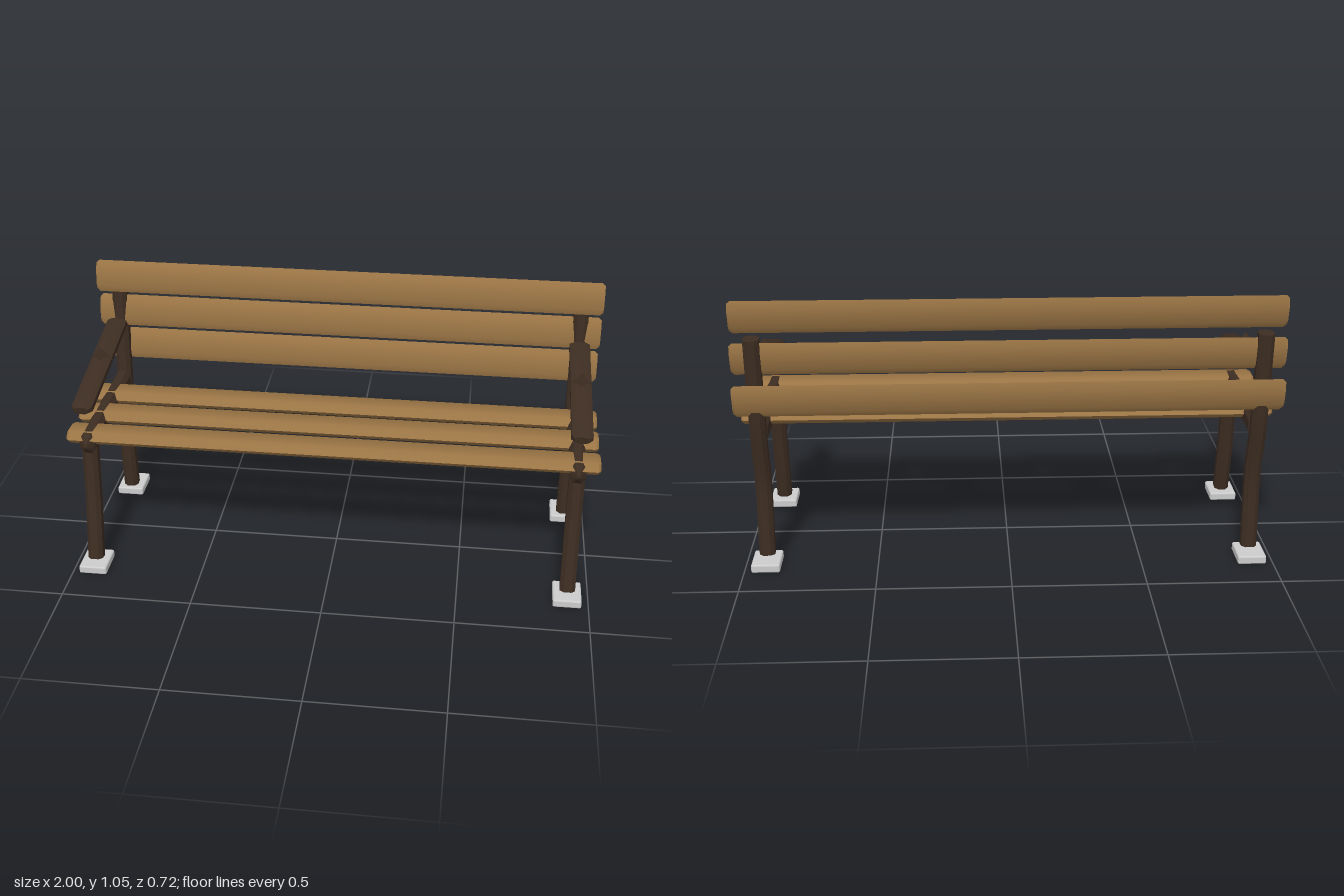
import * as THREE from 'three';
import { toCreasedNormals } from 'three/addons/utils/BufferGeometryUtils.js';
import { RoundedBoxGeometry } from 'three/addons/geometries/RoundedBoxGeometry.js';

const slatWood = new THREE.MeshStandardMaterial({ color: 0x9b7545 });
const frameWood = new THREE.MeshStandardMaterial({ color: 0x3d2d22 });
const concrete = new THREE.MeshStandardMaterial({ color: 0xcccccc });

// Unit cross-sections, spanning -0.5..0.5 both ways
const HEX = [[-0.5, 0], [-0.3, 0.5], [0.3, 0.5], [0.5, 0], [0.3, -0.5], [-0.3, -0.5]];
const CHAMFER = [[-0.5, -0.25], [-0.5, 0.25], [-0.25, 0.5], [0.25, 0.5],
  [0.5, 0.25], [0.5, -0.25], [0.25, -0.5], [-0.25, -0.5]];

// Closed solid through rings of points, wound outward
function loft(rings, crease) {
  const n = rings[0].length, last = (rings.length - 1) * n;
  const pts = rings.flat(), tris = [];
  for (let r = 0; r < rings.length - 1; r++) {
    for (let i = 0; i < n; i++) {
      const a = r * n + i, b = r * n + (i + 1) % n;
      tris.push([a, b, b + n], [a, b + n, a + n]);
    }
  }
  for (let i = 1; i < n - 1; i++) tris.push([0, i + 1, i], [last, last + i, last + i + 1]);
  let volume = 0;
  for (const [a, b, c] of tris) volume += pts[a].dot(pts[b].clone().cross(pts[c]));
  if (volume < 0) tris.forEach((t) => t.reverse());
  const geo = new THREE.BufferGeometry().setFromPoints(pts);
  geo.setIndex(tris.flat());
  return toCreasedNormals(geo, crease);
}

// Beam following [z, y, scale] stations in the side plane
function beam(path, section, width, depth) {
  const rings = path.map(([z, y, s = 1], i) => {
    const p = path[Math.max(i - 1, 0)], q = path[Math.min(i + 1, path.length - 1)];
    const dir = new THREE.Vector2(q[0] - p[0], q[1] - p[1]).normalize();
    return section.map(([u, v]) => new THREE.Vector3(
      u * width * s, y + v * depth * s * dir.x, z - v * depth * s * dir.y));
  });
  return loft(rings, 0.5);
}

// Plank along x, its cross-section tilted in the side plane
function plank(width, thick, tilt) {
  const c = Math.cos(tilt), s = Math.sin(tilt);
  const rings = [[-1, 0.82], [-0.988, 1], [0.988, 1], [1, 0.82]].map(([x, k]) =>
    HEX.map(([u, v]) => {
      const a = u * width * k, b = v * thick * k;
      return new THREE.Vector3(x, a * s + b * c, a * c - b * s);
    }));
  return loft(rings, 1.0);
}

export function createModel() {
  const model = new THREE.Group();
  model.name = 'parkBench';
  const add = (parent, name, geo, mat, x = 0, y = 0, z = 0) => {
    const mesh = new THREE.Mesh(geo, mat);
    mesh.name = name;
    mesh.position.set(x, y, z);
    parent.add(mesh);
    return mesh;
  };

  // Seat and backrest planks
  const seatGeo = plank(0.135, 0.047, 0.05);
  [0.209, 0.044, -0.121].forEach((z, i) =>
    add(model, `seatSlat${i + 1}`, seatGeo, slatWood, 0, 0.55, z));
  const backGeo = plank(0.127, 0.026, Math.PI / 2 + 0.18);
  [[0.678, -0.335], [0.832, -0.316], [0.983, -0.301]].forEach(([y, z], i) =>
    add(model, `backSlat${i + 1}`, backGeo, slatWood, 0, y, z));

  // Shared end-frame parts
  const frontLeg = beam([[0.293, 0.04], [0.248, 0.28], [0.226, 0.53]], CHAMFER, 0.058, 0.06);
  const backLeg = beam([[-0.268, 0.04], [-0.254, 0.28], [-0.261, 0.38], [-0.295, 0.5],
    [-0.308, 0.62], [-0.329, 0.912]], CHAMFER, 0.058, 0.058);
  const rail = beam([[0.292, 0.535, 0.1], [0.262, 0.535], [-0.27, 0.535], [-0.3, 0.535, 0.1]],
    CHAMFER, 0.06, 0.08);
  const arm = beam([[0.296, 0.694, 0.7], [0.28, 0.697], [-0.255, 0.801], [-0.273, 0.804, 0.5]],
    CHAMFER, 0.078, 0.042);
  const knot = toCreasedNormals(new THREE.ConeGeometry(0.044, 0.055, 4), 0.3);
  const foot = new RoundedBoxGeometry(0.108, 0.033, 0.131, 2, 0.007);

  for (const side of [1, -1]) {
    const end = new THREE.Group();
    end.name = side > 0 ? 'leftFrame' : 'rightFrame';
    end.position.x = side * 0.919;
    model.add(end);
    add(end, 'frontLeg', frontLeg, frameWood);
    add(end, 'backLeg', backLeg, frameWood);
    add(end, 'seatRail', rail, frameWood);
    add(end, 'armrest', arm, frameWood);
    add(end, 'armrestKnot', knot, frameWood, 0, 0.786, -0.006).rotation.x = 0.19;
    add(end, 'frontFoot', foot, concrete, 0, 0.0165, 0.2945);
    add(end, 'backFoot', foot, concrete, 0, 0.0165, -0.2935);
  }
  return model;
}
